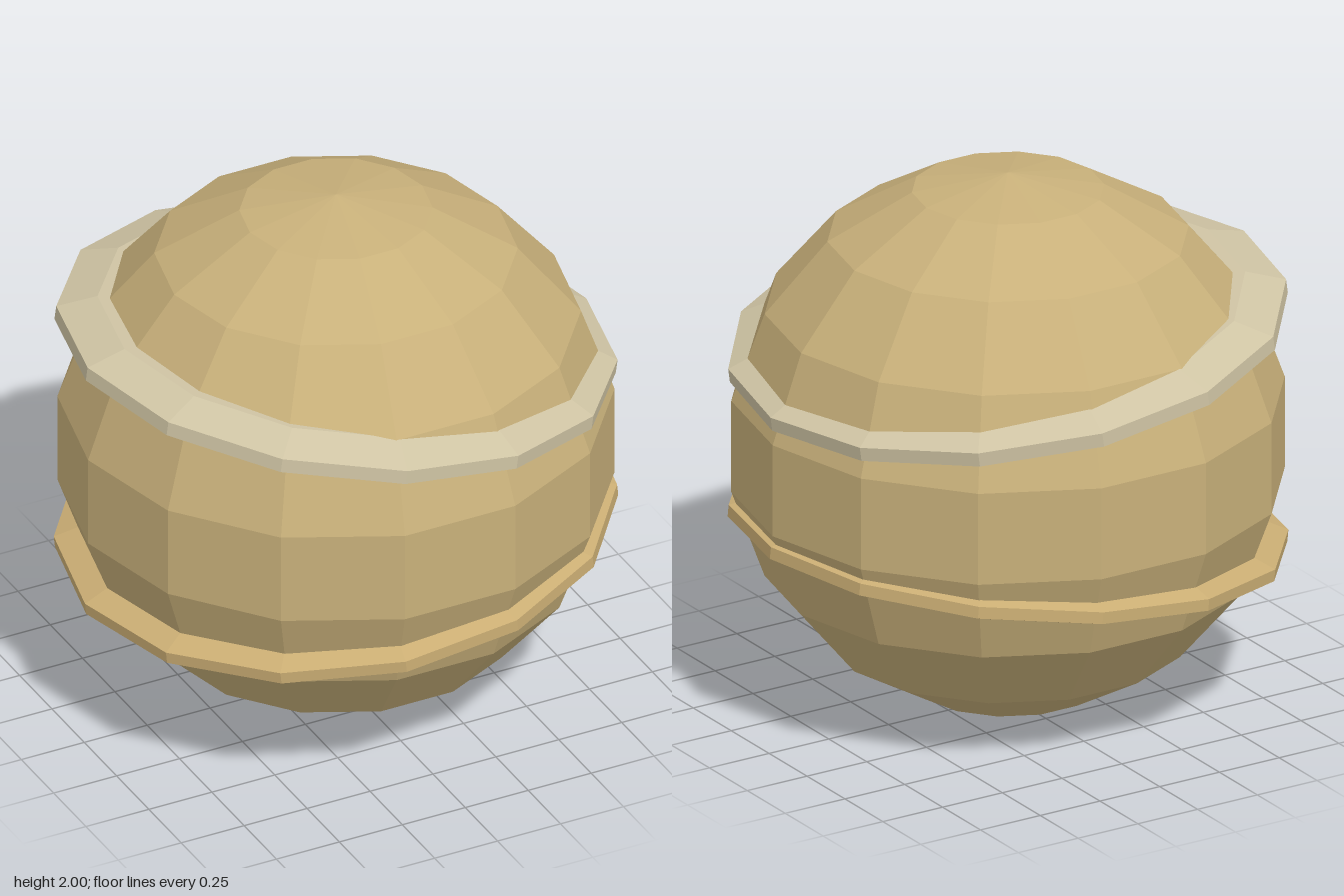
import * as THREE from 'three';

const SIDES = 14;

function material(name, color) {
  const m = new THREE.MeshStandardMaterial({ color, flatShading: true });
  m.name = name;
  return m;
}

// Tilted band with a bevelled rim; its inner edge is buried in the globe
function makeBand(name, mat, y, tiltDegrees, rim, crest) {
  const profile = [
    [0.7, -crest], [0.86, -crest], [1, -rim],
    [1, rim], [0.86, crest], [0.7, crest], [0.7, -crest],
  ].map(([r, h]) => new THREE.Vector2(r, h));
  const geometry = new THREE.LatheGeometry(profile, SIDES);
  geometry.rotateY(Math.PI / 2); // put a corner on the x axis
  const band = new THREE.Mesh(geometry, mat);
  band.name = name;
  band.position.y = y;
  band.rotation.z = THREE.MathUtils.degToRad(tiltDegrees);
  return band;
}

export function createModel() {
  const group = new THREE.Group();
  group.name = 'bandedGlobe';

  const tan = material('tan', 0xc8b07a);
  const paleStone = material('paleStone', 0xcfc4a4);
  const sand = material('sand', 0xcbae74);

  // Faceted globe
  const globe = new THREE.Mesh(new THREE.SphereGeometry(1, SIDES, 9), tan);
  globe.name = 'globe';
  globe.position.y = 1;
  group.add(globe);

  // Bands leaning in opposite directions
  group.add(makeBand('upperBand', paleStone, 1.395, -8, 0.026, 0.082));
  group.add(makeBand('lowerBand', sand, 0.66, 6, 0.022, 0.07));

  return group;
}
